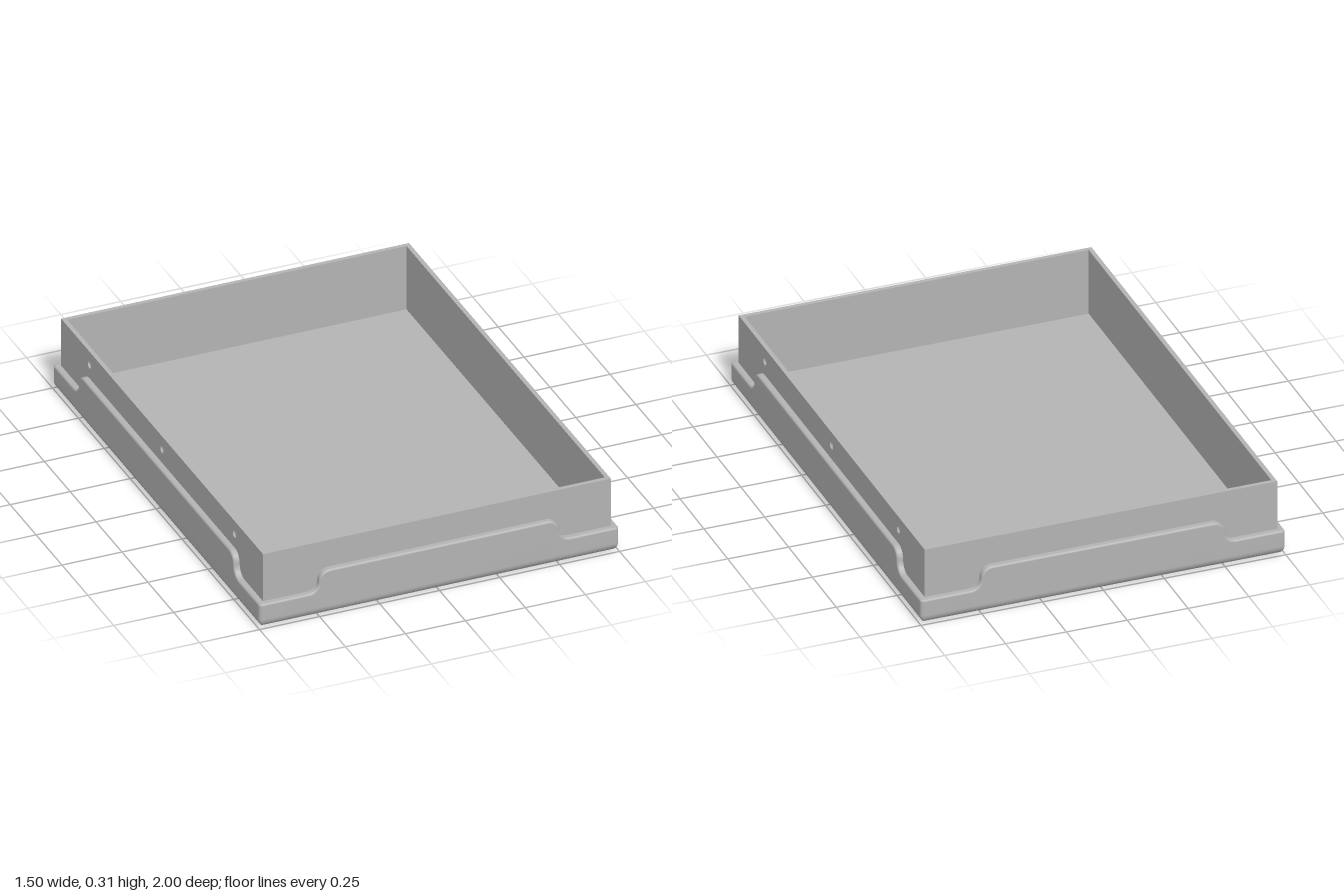
import * as THREE from 'three';

const HW = 0.75, HD = 1, CORNER = 0.015;   // skirt footprint
const BASE_R = 0.04, LIP_R = 0.009;        // bottom and lip roundings
const LOW = 0.107, HIGH = 0.198;           // skirt heights at corner and tab
const BW = 0.725, BD = 0.975, TOP = 0.315; // inner box
const WALL = 0.018, FLOOR = 0.035;

// Lip curve of one side: points {s, y} with the curve normal {ns, ny}
function lipCurve(halfLength, step) {
  const r = (HIGH - LOW) / 2, half = [{ s: null, y: LOW, ns: 0, ny: 1 }];
  for (let i = 0; i <= 8; i++) { // concave quarter
    const t = (i / 8) * Math.PI / 2, c = Math.cos(t), n = Math.sin(t);
    half.push({ s: -step - r + r * n, y: LOW + r - r * c, ns: -n, ny: c });
  }
  for (let i = 1; i <= 8; i++) { // convex quarter
    const t = (i / 8) * Math.PI / 2, c = Math.cos(t), n = Math.sin(t);
    half.push({ s: -step + r - r * c, y: LOW + r + r * n, ns: -c, ny: n });
  }
  const mirror = half.map(p => ({ s: p.s === null ? null : -p.s, y: p.y, ns: -p.ns, ny: p.ny })).reverse();
  return [...half.map(p => ({ ...p, end: -1 })), ...mirror.map(p => ({ ...p, end: 1 }))];
}

// One closed loop round the skirt at a given inset; y is null to follow the lip
function skirtLoop(inset, y, shift) {
  const loop = [], m = Math.max(CORNER, inset), q = Math.max(CORNER - inset, 0);
  for (let k = 0; k < 4; k++) {
    const L = k % 2 ? HD : HW, D = k % 2 ? HW : HD;
    const add = (s, h, out) => loop.push(
      new THREE.Vector3(s, h, out).applyAxisAngle(new THREE.Vector3(0, 1, 0), k * Math.PI / 2));
    for (const p of lipCurve(L, k % 2 ? 0.75 : 0.5)) {
      const s = p.s === null ? p.end * (L - m) : p.s - p.ns * shift;
      add(s, y ?? p.y - p.ny * shift, D - inset);
    }
    for (let i = 1; i < 5; i++) {
      const t = (i / 5) * Math.PI / 2;
      add(L - m + q * Math.sin(t), y ?? LOW - shift, D - m + q * Math.cos(t));
    }
  }
  return loop;
}

function skirtGeometry() {
  const rows = [];
  for (let i = 0; i <= 8; i++) { // rounded bottom edge
    const t = (i / 8) * Math.PI / 2;
    rows.push(skirtLoop(BASE_R * (1 - Math.sin(t)), BASE_R * (1 - Math.cos(t)), 0));
  }
  for (let i = 0; i <= 5; i++) { // rounded lip
    const t = (i / 5) * Math.PI / 2;
    rows.push(skirtLoop(LIP_R * (1 - Math.cos(t)), null, LIP_R * (1 - Math.sin(t))));
  }
  rows.push(skirtLoop(0.028, null, 0));

  const n = rows[0].length, index = [];
  const points = rows.flat();
  const center = points.push(new THREE.Vector3()) - 1;
  for (let i = 0; i < n; i++) {
    const j = (i + 1) % n;
    index.push(center, j, i); // underside
    for (let r = 0; r < rows.length - 1; r++) {
      const a = r * n + i, b = r * n + j;
      index.push(a, b, b + n, a, b + n, a + n);
    }
  }
  const g = new THREE.BufferGeometry().setFromPoints(points);
  g.setIndex(index);
  g.computeVertexNormals();
  return g;
}

export function createModel() {
  const model = new THREE.Group();
  model.name = 'tray';
  const grey = new THREE.MeshStandardMaterial({ color: 0xb3b3b3, side: THREE.DoubleSide });
  grey.name = 'grey';

  const add = (geometry, name, x = 0, y = 0, z = 0) => {
    const mesh = new THREE.Mesh(geometry, grey);
    mesh.name = name;
    mesh.position.set(x, y, z);
    model.add(mesh);
    return mesh;
  };

  add(skirtGeometry(), 'skirt');
  add(new THREE.BoxGeometry(2 * BW - 0.02, 0.02, 2 * BD - 0.02), 'floor', 0, FLOOR - 0.01, 0);

  // Side wall skin with three round openings
  const holeR = 0.016, holeY = 0.258, holeZ = [-0.7, 0, 0.7], skin = 0.01;
  const sideShape = new THREE.Shape([
    new THREE.Vector2(-BD, 0.02), new THREE.Vector2(BD, 0.02),
    new THREE.Vector2(BD, TOP), new THREE.Vector2(-BD, TOP)]);
  for (const z of holeZ) {
    sideShape.holes.push(new THREE.Path().absarc(z, holeY, holeR, 0, Math.PI * 2, true));
  }
  const sideGeometry = new THREE.ExtrudeGeometry(sideShape, { depth: skin, bevelEnabled: false, curveSegments: 12 });

  // Shallow round dimple
  const profile = [];
  for (let i = 0; i <= 6; i++) {
    const t = (i / 6) * Math.PI / 2;
    profile.push(new THREE.Vector2(holeR * Math.sin(t), -0.009 * Math.cos(t)));
  }
  const dimpleGeometry = new THREE.LatheGeometry(profile, 24);

  const inner = WALL - skin, h = TOP - 0.02, midY = (TOP + 0.02) / 2;
  for (const side of [-1, 1]) {
    const outer = add(sideGeometry, 'sideWall', side * (BW - skin), 0, 0);
    outer.rotation.y = side * Math.PI / 2;
    add(new THREE.BoxGeometry(inner, h, 2 * BD), 'sideWallLining', side * (BW - skin - inner / 2), midY, 0);
    for (const z of holeZ) {
      add(dimpleGeometry, 'dimple', side * BW, holeY, z).rotation.z = -side * Math.PI / 2;
    }
    add(new THREE.BoxGeometry(2 * (BW - WALL), h, WALL), side > 0 ? 'frontWall' : 'backWall',
      0, midY, side * (BD - WALL / 2));
  }
  return model;
}
